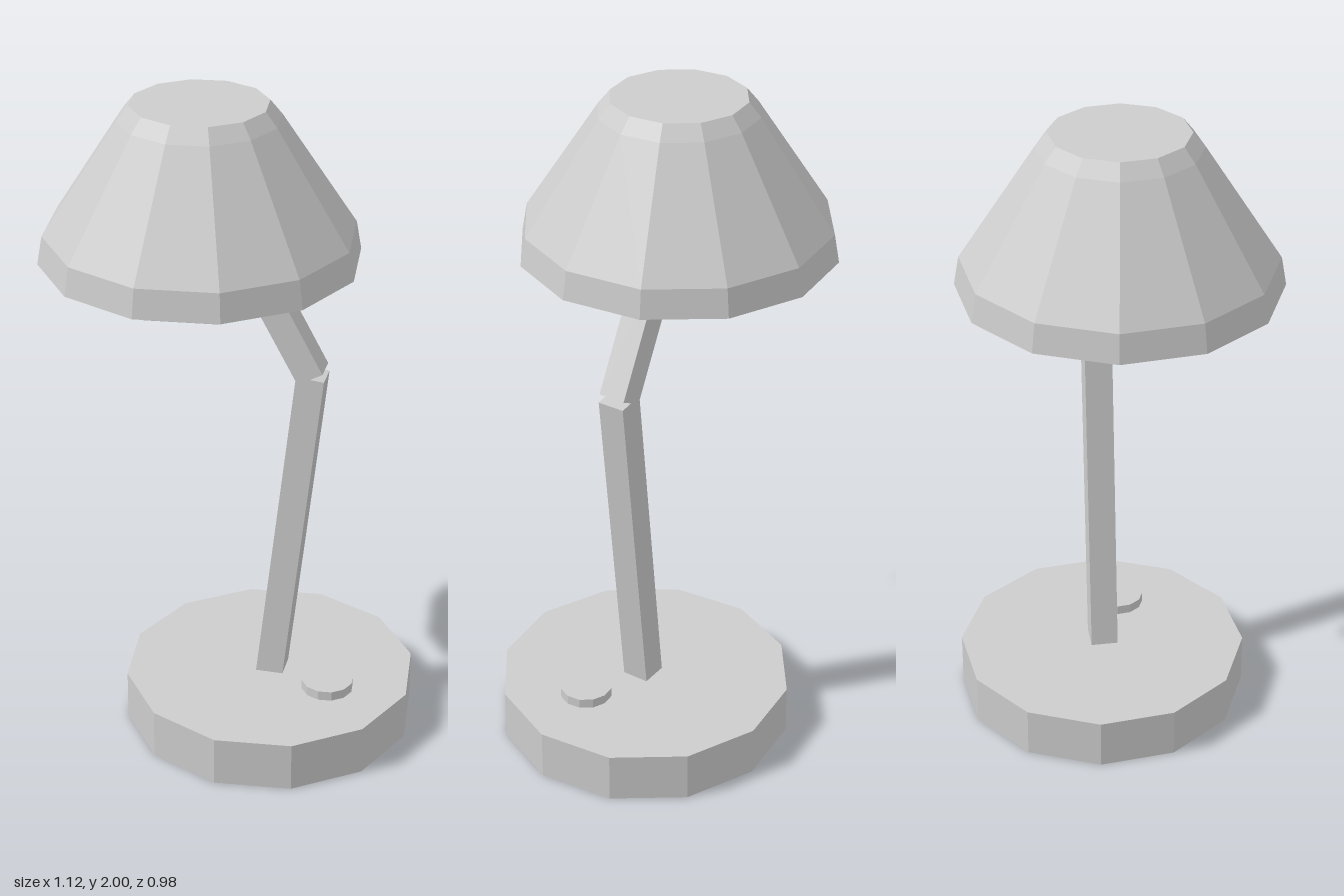
import * as THREE from 'three';

export function createModel() {
  const lamp = new THREE.Group();
  lamp.name = 'deskLamp';
  const grey = new THREE.MeshStandardMaterial({ color: 0xcccccc, flatShading: true });
  grey.name = 'light grey';

  function add(parent, name, geometry, x, y, z) {
    const mesh = new THREE.Mesh(geometry, grey);
    mesh.name = name;
    mesh.position.set(x, y, z);
    parent.add(mesh);
    return mesh;
  }

  // Twelve-sided disc standing on height y0
  function disc(name, radius, y0, y1, x, z) {
    add(lamp, name, new THREE.CylinderGeometry(radius, radius, y1 - y0, 12), x, (y0 + y1) / 2, z);
  }

  disc('base', 0.45, 0, 0.155, 0.11, -0.04);
  disc('switchButton', 0.08, 0.15, 0.185, 0.32, 0.01);
  disc('lightDiffuser', 0.395, 1.5, 1.56, -0.095, 0.016);

  // Faceted shade, closed at top and bottom
  const profile = [[0, 1.535], [0.47, 1.535], [0.455, 1.62], [0.235, 1.957], [0.2, 2], [0, 2]]
    .map(([r, y]) => new THREE.Vector2(r, y));
  add(lamp, 'shade', new THREE.LatheGeometry(profile, 12), -0.095, 0, 0.016);

  // Both arm bars meet at the elbow and lean within one turned plane
  const arm = new THREE.Group();
  arm.name = 'arm';
  arm.position.set(0.23, 1.186, -0.056);
  arm.rotation.y = 0.16;
  lamp.add(arm);

  function bar(name, length, side, lean) {
    const geometry = new THREE.BoxGeometry(0.084, length, 0.084);
    geometry.translate(0, side * length / 2, 0);
    add(arm, name, geometry, 0, 0, 0).rotation.z = lean;
  }
  bar('lowerArm', 1.08, -1, -0.11);
  bar('upperArm', 0.4, 1, 0.495);

  return lamp;
}
